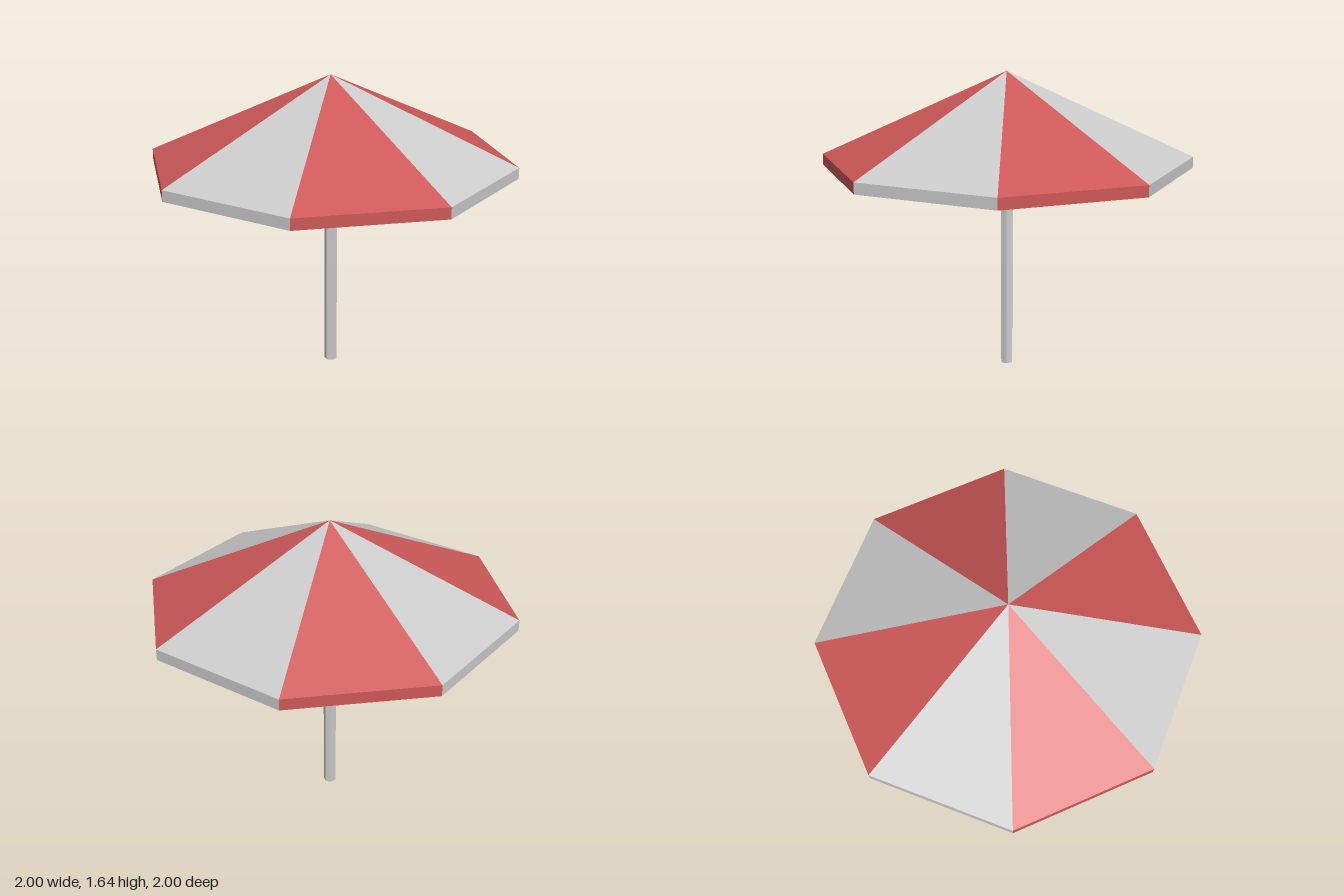
import * as THREE from 'three';

const SIDES = 8;
const RIM_Y = 1.125;   // underside of the canopy
const EAVE_Y = 1.185;  // top of the hanging valance
const APEX_Y = 1.64;

const grey = new THREE.MeshStandardMaterial({ color: 0xcccccc, flatShading: true });
const red = new THREE.MeshStandardMaterial({ color: 0xcc5757, flatShading: true });

function addPart(parent, name, geometry, material) {
  const mesh = new THREE.Mesh(geometry, material);
  mesh.name = name;
  parent.add(mesh);
  return mesh;
}

export function createModel() {
  const model = new THREE.Group();
  model.name = 'parasol';

  // Hexagonal pole with corners on the x axis
  const pole = new THREE.CylinderGeometry(0.035, 0.035, RIM_Y, 6, 1, false, Math.PI / 2);
  addPart(model, 'pole', pole, grey).position.y = RIM_Y / 2;

  const canopy = new THREE.Group();
  canopy.name = 'canopy';
  model.add(canopy);

  // Alternating wedges: each has a valance strip and a sloping panel
  const profile = [
    new THREE.Vector2(1, RIM_Y),
    new THREE.Vector2(1, EAVE_Y),
    new THREE.Vector2(0, APEX_Y),
  ];
  const step = (2 * Math.PI) / SIDES;
  for (let i = 0; i < SIDES; i++) {
    const wedge = new THREE.LatheGeometry(profile, 1, i * step, step);
    addPart(canopy, `canopyPanel${i + 1}`, wedge, i % 2 ? grey : red);
  }

  // Flat underside, facing down
  const underside = new THREE.CircleGeometry(1, SIDES).rotateX(Math.PI / 2);
  addPart(canopy, 'canopyUnderside', underside, grey).position.y = RIM_Y;

  return model;
}
